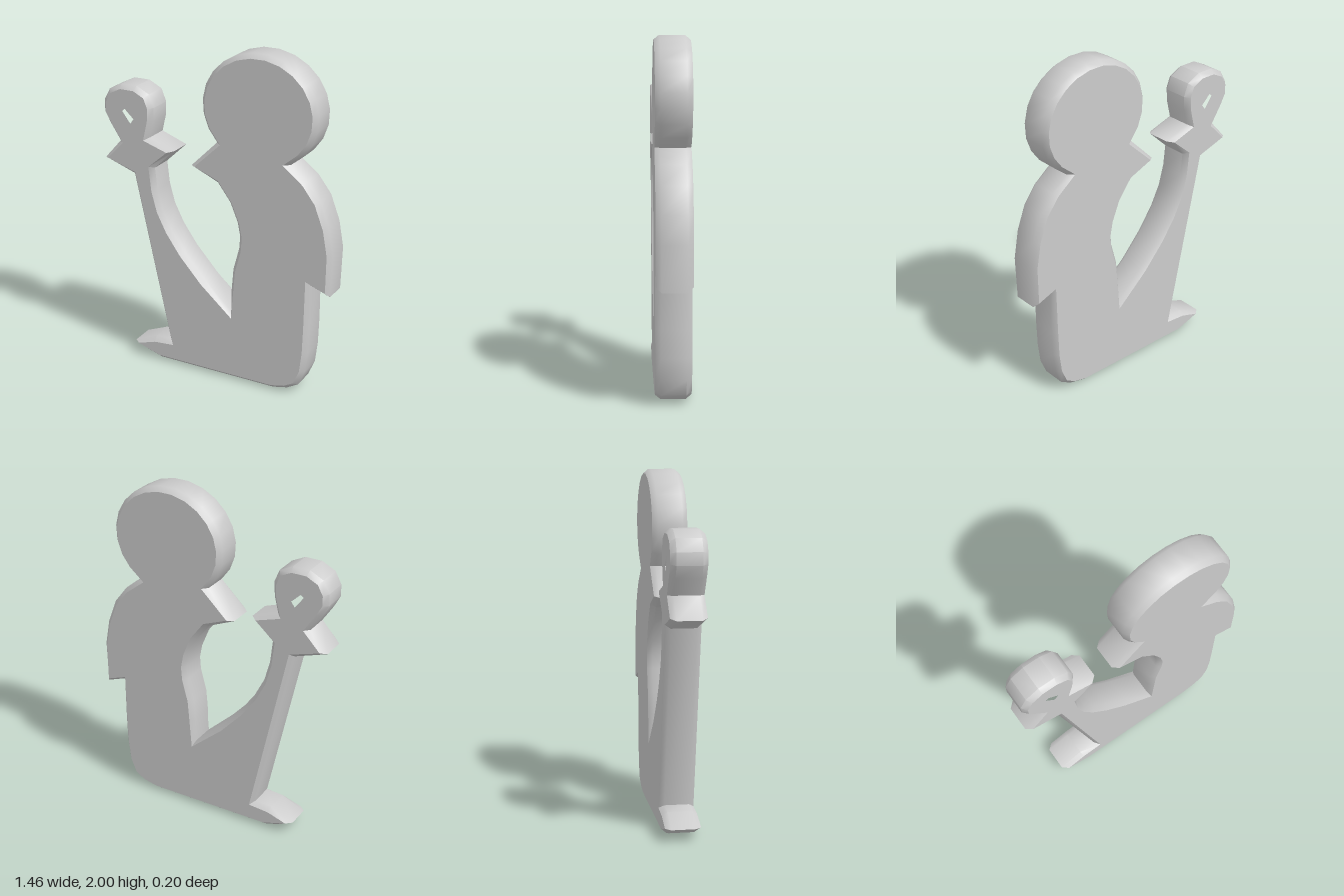
import * as THREE from 'three';
import { toCreasedNormals } from 'three/addons/utils/BufferGeometryUtils.js';

const DEPTH = 0.2, BEVEL_IN = 0.025, BEVEL_Z = 0.03;

// Round head: an arc of an ellipse, from the front of the neck over the top to the nape
function headArc() {
  const pts = [], from = THREE.MathUtils.degToRad(222), to = THREE.MathUtils.degToRad(-57), n = 18;
  for (let i = 0; i <= n; i++) {
    const a = from + (to - from) * i / n;
    pts.push([0.27 + 0.352 * Math.cos(a), 1.675 + 0.325 * Math.sin(a)]);
  }
  return pts;
}

// Rounded back ending in a pointed hem
const back = [[0.565, 1.325], [0.645, 1.22], [0.70, 1.075], [0.728, 0.92], [0.72, 0.665], [0.60, 0.71]];
// Seat with rounded corner and flat underside
const seat = [[0.60, 0.44], [0.595, 0.28], [0.58, 0.155], [0.54, 0.06], [0.47, 0.02], [0.38, 0], [-0.38, 0.003]];
// Pointed foot
const foot = [[-0.47, 0.03], [-0.56, 0.075], [-0.415, 0.135], [-0.31, 0.142]];
// Raised limb with a cuff and a ring on top
const ring = [[-0.537, 1.178], [-0.733, 1.246], [-0.627, 1.365], [-0.69, 1.46], [-0.728, 1.53], [-0.728, 1.60],
  [-0.69, 1.67], [-0.61, 1.71], [-0.51, 1.71], [-0.43, 1.67], [-0.40, 1.595], [-0.405, 1.51], [-0.428, 1.415],
  [-0.27, 1.357], [-0.40, 1.235]];
// Inner curve of the limb down to the lap
const limb = [[-0.385, 1.10], [-0.352, 0.98], [-0.294, 0.865], [-0.204, 0.738], [-0.07, 0.59], [0.10, 0.43]];
// Chest and pointed collar
const chest = [[0.103, 0.575], [0.114, 0.706], [0.15, 0.84], [0.156, 0.918], [0.14, 1.0], [0.093, 1.114],
  [0.013, 1.22], [-0.156, 1.294]];
// Opening in the ring
const opening = [[-0.627, 1.56], [-0.575, 1.605], [-0.484, 1.52], [-0.542, 1.452]];

const toVectors = (pts) => pts.map(([x, y]) => new THREE.Vector2(x, y));

export function createModel() {
  const group = new THREE.Group();
  group.name = 'seatedFigure';

  const outline = [headArc(), back, seat, foot, ring, limb, chest].flat();
  const shape = new THREE.Shape(toVectors(outline));
  shape.holes.push(new THREE.Path(toVectors(opening)));

  // Flat slab with a chamfer on both faces
  const slab = new THREE.ExtrudeGeometry(shape, {
    depth: DEPTH - 2 * BEVEL_Z,
    bevelEnabled: true,
    bevelThickness: BEVEL_Z,
    bevelSize: BEVEL_IN,
    bevelOffset: -BEVEL_IN,
    bevelSegments: 1,
  });
  slab.translate(0, 0, -DEPTH / 2 + BEVEL_Z);

  // Walls blend into the chamfer, faces stay crisp
  const mesh = new THREE.Mesh(toCreasedNormals(slab, 0.75), new THREE.MeshStandardMaterial({ color: 0xcccccc }));
  mesh.name = 'silhouetteBody';
  group.add(mesh);
  return group;
}
